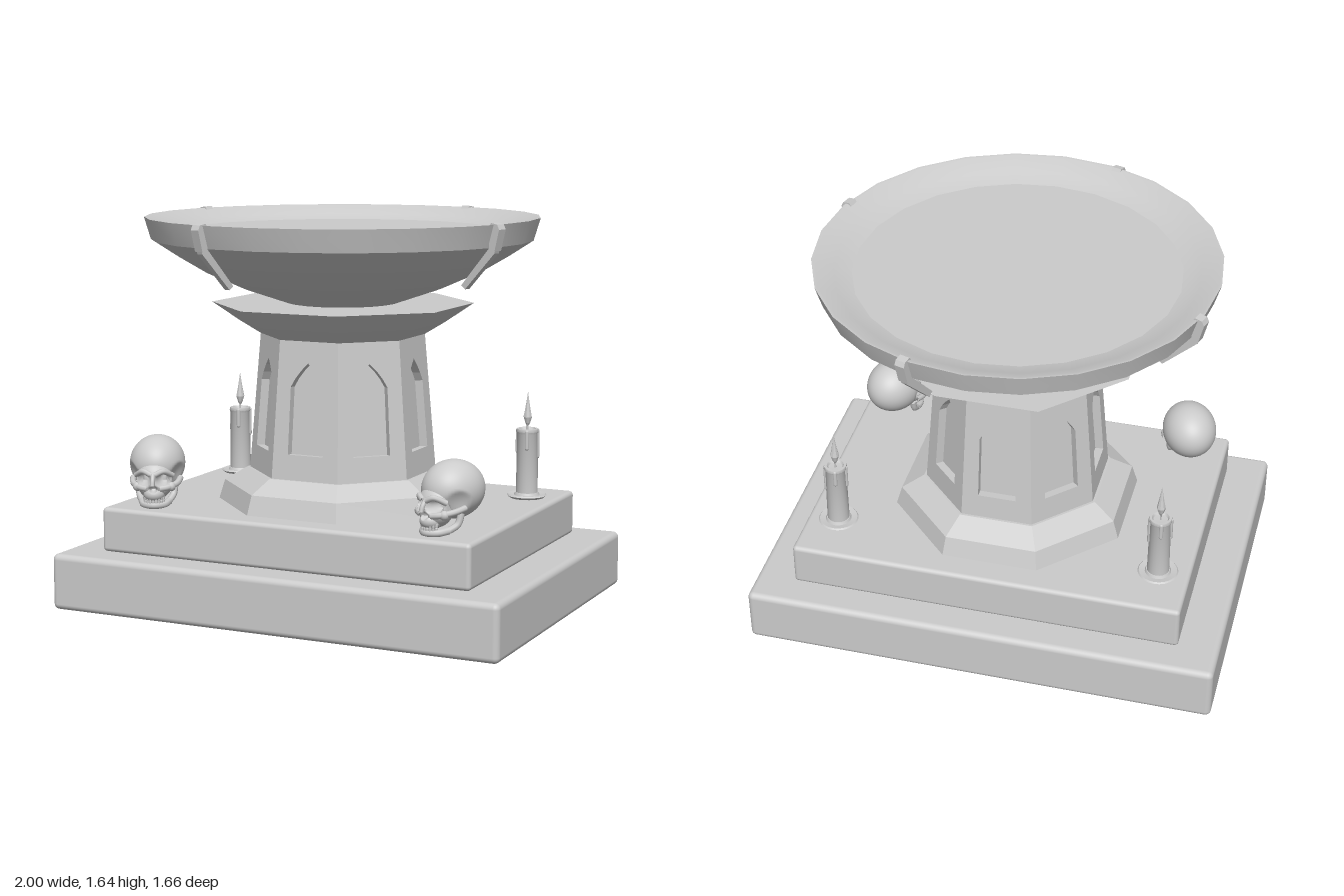
import * as THREE from 'three';
import { RoundedBoxGeometry } from 'three/addons/geometries/RoundedBoxGeometry.js';
import { toCreasedNormals } from 'three/addons/utils/BufferGeometryUtils.js';

const smooth = new THREE.MeshStandardMaterial({ color: 0xcccccc });
const flat = new THREE.MeshStandardMaterial({ color: 0xcccccc, flatShading: true });
const V = (x, y, z) => new THREE.Vector3(x, y, z);

function add(parent, name, geometry, material = smooth, x = 0, y = 0, z = 0) {
  const mesh = new THREE.Mesh(geometry, material);
  mesh.name = name;
  mesh.position.set(x, y, z);
  parent.add(mesh);
  return mesh;
}

const lathe = (points, sides) =>
  new THREE.LatheGeometry(points.map(([r, y]) => new THREE.Vector2(r, y)), sides);

// Eight-sided solid with flats facing the axes; radii are measured to the flats
const octagon = (points) =>
  lathe(points.map(([r, y]) => [r / Math.cos(Math.PI / 8), y]), 8).rotateY(Math.PI / 8);

const tube = (points, radius) =>
  new THREE.TubeGeometry(new THREE.CatmullRomCurve3(points), 20, radius, 8);

// One column side with a pointed-arch opening, leaning inwards
function columnSide() {
  const y0 = 0.565, y1 = 1.14, a0 = 0.365, a1 = 0.32;
  const length = Math.hypot(y1 - y0, a0 - a1), t = Math.tan(Math.PI / 8);
  const shape = new THREE.Shape();
  shape.moveTo(-a0 * t, 0).lineTo(a0 * t, 0).lineTo(a1 * t, length).lineTo(-a1 * t, length).closePath();
  const arch = new THREE.Path();
  arch.moveTo(-0.08, 0.105).lineTo(-0.076, 0.385);
  arch.quadraticCurveTo(-0.05, 0.44, 0, 0.485);
  arch.quadraticCurveTo(0.05, 0.44, 0.076, 0.385);
  arch.lineTo(0.08, 0.105).closePath();
  shape.holes.push(arch);
  return new THREE.ExtrudeGeometry(shape, { depth: 0.035, bevelEnabled: false, curveSegments: 3 })
    .translate(0, 0, -0.035)
    .rotateX(-Math.atan((a0 - a1) / (y1 - y0)))
    .translate(0, y0, a0);
}

// Bent bar hooked over the rim, outline in (radius, height)
function clawBar(outline, width) {
  const shape = new THREE.Shape(outline.map(([r, y]) => new THREE.Vector2(r, y)));
  return new THREE.ExtrudeGeometry(shape, { depth: width, bevelEnabled: false })
    .translate(0, 0, -width / 2);
}

function createCandle() {
  const candle = new THREE.Group();
  candle.name = 'candle';
  const dish = lathe([[0, 0], [0.07, 0], [0.085, 0.012], [0.08, 0.018], [0.055, 0.014], [0.05, 0.025], [0, 0.025]], 24);
  add(candle, 'candleDish', toCreasedNormals(dish, 0.6));
  const wax = lathe([[0.047, 0.01], [0.044, 0.28], [0.049, 0.288], [0.046, 0.3], [0.036, 0.3], [0.03, 0.29], [0, 0.288]], 20);
  add(candle, 'wax', toCreasedNormals(wax, 0.8));
  [[0.3, 0.07], [1.9, 0.11], [3.4, 0.06], [4.8, 0.09]].forEach(([a, len]) => {
    add(candle, 'waxDrip', new THREE.CapsuleGeometry(0.009, len, 4, 8), smooth,
      Math.sin(a) * 0.043, 0.29 - len / 2, Math.cos(a) * 0.043);
  });
  add(candle, 'wick', new THREE.CylinderGeometry(0.004, 0.004, 0.04, 6), smooth, 0, 0.305, 0);
  add(candle, 'flame', lathe([[0, 0.305], [0.011, 0.325], [0.019, 0.35], [0.012, 0.385], [0.006, 0.42], [0, 0.46]], 8), flat);
  return candle;
}

// Press hollows for eyes, nose and temples into a skull surface
function carve(geometry) {
  const p = geometry.attributes.position;
  const hollows = [[-0.04, 0.125, 0.03, 0.065], [0.04, 0.125, 0.03, 0.065], [0, 0.083, 0.016, 0.03]];
  for (let i = 0; i < p.count; i++) {
    let x = p.getX(i), y = p.getY(i), z = p.getZ(i);
    if (z > 0.04) {
      for (const [hx, hy, r, depth] of hollows) {
        const d = Math.hypot(x - hx, y - hy) / r;
        if (d < 1) z -= depth * Math.min(1, (1 - d * d) * 1.6);
      }
    }
    const d = Math.hypot(y - 0.135, z - 0.065) / 0.05;
    if (d < 1 && Math.abs(x) > 0.05) x *= 1 - 0.2 * (1 - d * d);
    p.setXYZ(i, x, y, z);
  }
  geometry.computeVertexNormals();
  return geometry;
}

function createSkull() {
  const skull = new THREE.Group();
  skull.name = 'skull';
  const ball = (rx, ry, rz, y, z) =>
    carve(new THREE.SphereGeometry(1, 64, 48).scale(rx, ry, rz).translate(0, y, z));
  add(skull, 'cranium', ball(0.116, 0.118, 0.137, 0.172, 0));
  add(skull, 'face', ball(0.078, 0.085, 0.068, 0.115, 0.095));
  add(skull, 'upperJaw', ball(0.045, 0.036, 0.05, 0.06, 0.118));
  // Brow, cheekbones and jaw on both sides
  for (const s of [-1, 1]) {
    add(skull, 'brow', tube([V(s * 0.008, 0.145, 0.158), V(s * 0.04, 0.158, 0.146), V(s * 0.076, 0.137, 0.108)], 0.012));
    add(skull, 'cheekbone', tube([V(s * 0.025, 0.085, 0.148), V(s * 0.062, 0.09, 0.13), V(s * 0.092, 0.1, 0.085), V(s * 0.1, 0.112, 0.03)], 0.013));
    add(skull, 'cheekKnob', new THREE.SphereGeometry(0.02, 12, 8), smooth, s * 0.07, 0.09, 0.117);
    add(skull, 'jawBranch', tube([V(s * 0.078, 0.09, 0.03), V(s * 0.072, 0.045, 0.045), V(s * 0.058, 0.022, 0.08)], 0.014));
  }
  add(skull, 'noseBridge', tube([V(0, 0.145, 0.152), V(0, 0.122, 0.168), V(0, 0.1, 0.175)], 0.01));
  add(skull, 'lowerJaw', tube([V(-0.058, 0.022, 0.08), V(-0.042, 0.016, 0.125), V(0, 0.015, 0.15), V(0.042, 0.016, 0.125), V(0.058, 0.022, 0.08)], 0.015));
  // Two rows of teeth
  for (const y of [0.03, 0.045]) {
    for (let i = -4; i <= 4; i++) {
      const a = i * 0.27;
      add(skull, 'tooth', new THREE.CapsuleGeometry(0.0065, 0.008, 3, 8), smooth,
        Math.sin(a) * 0.044, y, 0.105 + Math.cos(a) * 0.05);
    }
  }
  return skull;
}

export function createModel() {
  const model = new THREE.Group();
  model.name = 'altarBrazier';

  // Stepped plinth
  add(model, 'lowerSlab', new RoundedBoxGeometry(2, 0.237, 1.46, 4, 0.025), smooth, 0, 0.1185, 0);
  add(model, 'upperSlab', new RoundedBoxGeometry(1.66, 0.188, 1.2, 4, 0.018), smooth, 0, 0.333, 0);

  // Octagonal pedestal
  add(model, 'pedestalFoot', octagon([[0, 0.42], [0.49, 0.42], [0.465, 0.508], [0.375, 0.565], [0, 0.565]]), flat);
  add(model, 'columnCore', octagon([[0.33, 0.56], [0.285, 1.14]]), flat);
  for (let i = 0; i < 8; i++) {
    add(model, 'archedColumnSide', columnSide(), flat).rotation.y = i * Math.PI / 4;
  }
  add(model, 'capital', octagon([[0, 1.138], [0.32, 1.138], [0.4, 1.19], [0.51, 1.27], [0, 1.27]]), flat);

  // Shallow bowl and its level filling
  const bowl = lathe([[0, 1.235], [0.235, 1.272], [0.42, 1.335], [0.59, 1.41], [0.7, 1.475], [0.8, 1.54],
    [0.828, 1.633], [0.815, 1.632], [0.74, 1.595], [0.66, 1.573], [0.55, 1.55]], 24);
  add(model, 'bowl', toCreasedNormals(bowl, 0.5));
  add(model, 'bowlFilling', new THREE.CircleGeometry(0.668, 24).rotateX(-Math.PI / 2), smooth, 0, 1.576, 0);

  // Four claws gripping the rim
  for (let i = 0; i < 4; i++) {
    const claw = new THREE.Group();
    claw.name = 'rimClaw';
    claw.rotation.y = -0.3 + i * Math.PI / 2;
    add(claw, 'clawHook', clawBar([[0.8, 1.625], [0.81, 1.64], [0.84, 1.635], [0.85, 1.615], [0.828, 1.53], [0.8, 1.535]], 0.042), flat);
    add(claw, 'clawTip', clawBar([[0.8, 1.545], [0.83, 1.545], [0.822, 1.52], [0.675, 1.37], [0.655, 1.385]], 0.028), flat);
    model.add(claw);
  }

  // Candles at the back, skulls turned inwards at the front
  for (const s of [-1, 1]) {
    const candle = createCandle();
    candle.position.set(s * 0.695, 0.425, -0.375);
    model.add(candle);
    const skull = createSkull();
    skull.position.set(s * 0.675, 0.427, 0.4);
    skull.rotation.y = -s * 0.4;
    model.add(skull);
  }
  return model;
}
